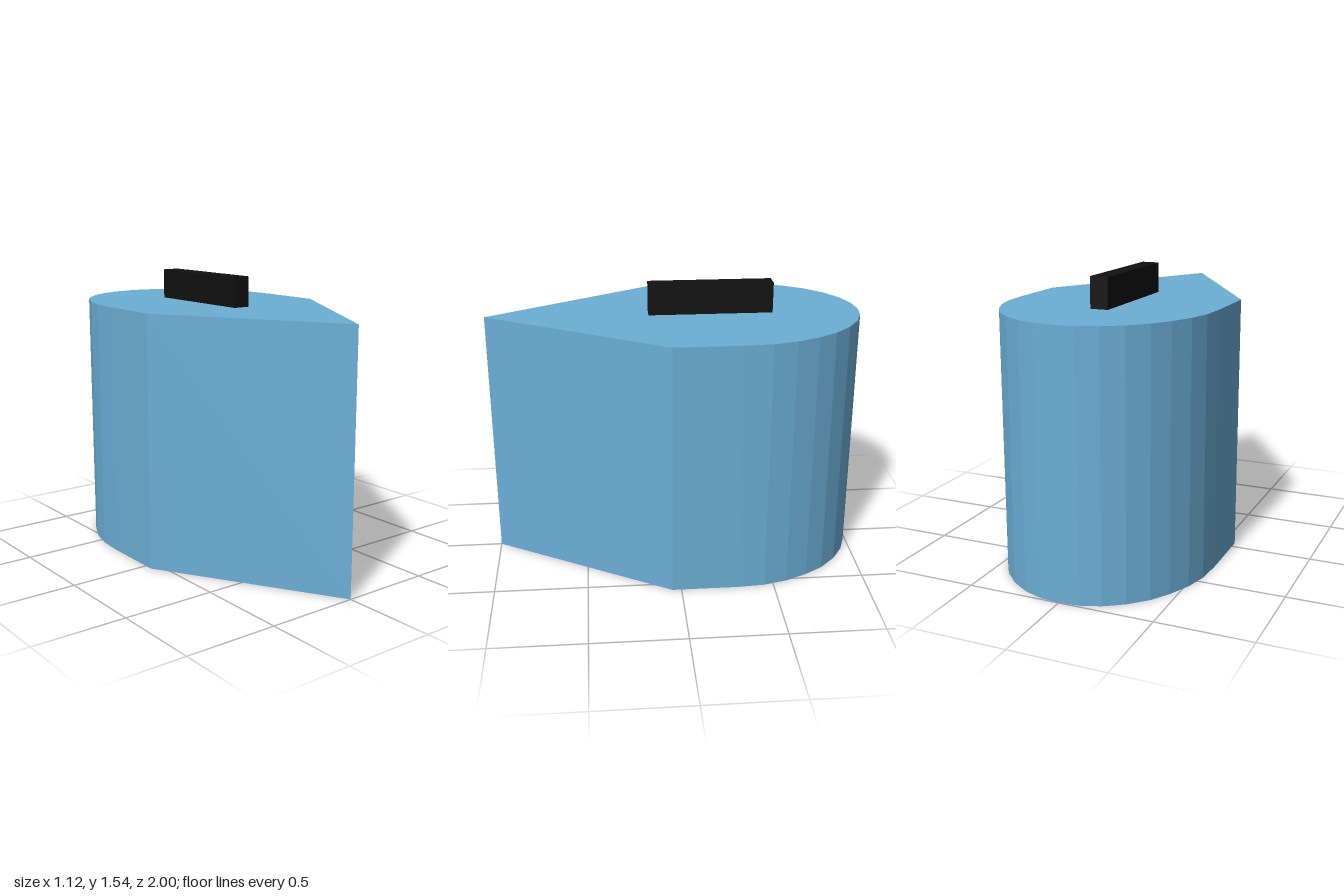
import * as THREE from 'three';

const BODY_HEIGHT = 1.375;

export function createModel() {
  const model = new THREE.Group();

  // Half outline of the body as [x, z], from the pointed front to the round back
  const half = [
    [0, 1], [0.56, 0.05], [0.56, -0.3], [0.55, -0.45], [0.518, -0.575],
    [0.463, -0.695], [0.4, -0.795], [0.31, -0.885], [0.21, -0.95],
    [0.107, -0.988], [0, -1],
  ];
  const mirrored = half.slice(1, -1).reverse().map(([x, z]) => [-x, z]);
  const outline = [...half, ...mirrored].map(([x, z]) => new THREE.Vector2(x, -z));

  // Upright teardrop prism
  const bodyGeometry = new THREE.ExtrudeGeometry(new THREE.Shape(outline), {
    depth: BODY_HEIGHT,
    bevelEnabled: false,
  });
  bodyGeometry.rotateX(-Math.PI / 2);
  const body = new THREE.Mesh(
    bodyGeometry,
    new THREE.MeshStandardMaterial({ color: 0x6baed6, flatShading: true })
  );
  body.name = 'body';
  model.add(body);

  // Narrow bar on the top, slightly off centre
  const barHeight = 0.162;
  const bar = new THREE.Mesh(
    new THREE.BoxGeometry(0.095, barHeight, 0.664),
    new THREE.MeshStandardMaterial({ color: 0x111111 })
  );
  bar.position.set(-0.01, BODY_HEIGHT + barHeight / 2, -0.198);
  bar.name = 'topBar';
  model.add(bar);

  return model;
}
